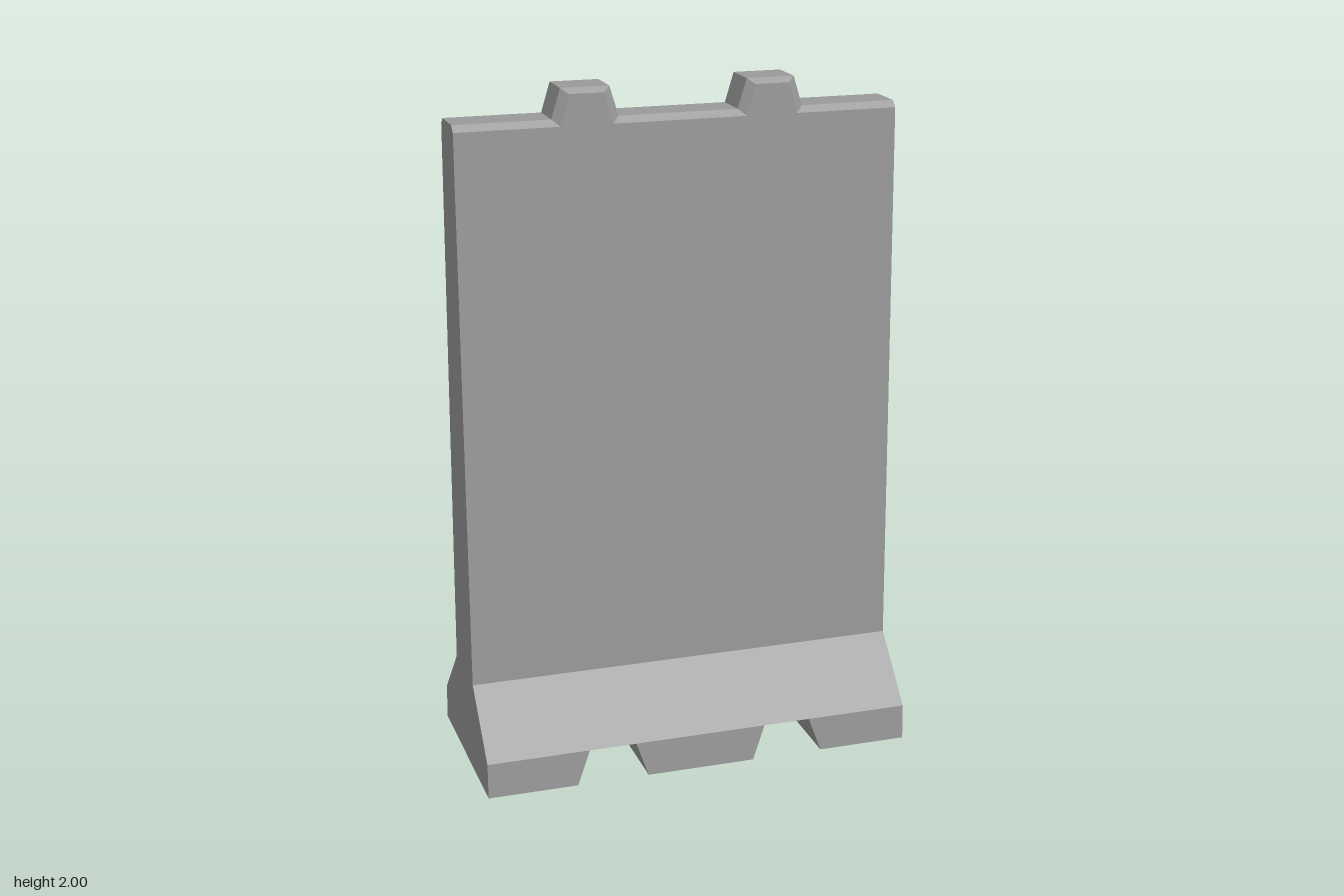
import * as THREE from 'three';
import { ConvexGeometry } from 'three/addons/geometries/ConvexGeometry.js';

const HALF = 0.645;      // half width of the barrier
const NOTCH_X = 0.27;    // centre of each key and its matching notch

export function createModel() {
  const group = new THREE.Group();
  const material = new THREE.MeshStandardMaterial({ color: 0x9a9a9a, flatShading: true });

  const add = (name, geometry, x = 0) => {
    const mesh = new THREE.Mesh(geometry, material);
    mesh.name = name;
    mesh.position.x = x;
    group.add(mesh);
  };

  // Solid spanned by [x, y, z] corners, each repeated at -z
  const solid = (corners) => new ConvexGeometry(corners.flatMap(([x, y, z]) =>
    [new THREE.Vector3(x, y, z), new THREE.Vector3(x, y, -z)]));

  // Wall: tapered section with flared base and bevelled top, swept along x
  const half = [[0.278, 0.105], [0.109, 0.28], [0.075, 1.897], [0.056, 1.915]];
  const outline = [...half, ...half.map(([z, y]) => [-z, y]).reverse()];
  const section = new THREE.Shape(outline.map(([z, y]) => new THREE.Vector2(z, y)));
  const wall = new THREE.ExtrudeGeometry(section, { depth: 2 * HALF, bevelEnabled: false });
  wall.translate(0, 0, -HALF).rotateY(Math.PI / 2);
  add('wall', wall);

  // Feet: blocks separated by two trapezoidal notches
  const foot = (name, bottom, top) => add(name, solid([
    ...bottom.map((x) => [x, 0, 0.282]),
    ...top.map((x) => [x, 0.105, 0.278]),
  ]));
  foot('centreFoot', [-0.163, 0.163], [-0.199, 0.199]);
  foot('leftFoot', [0.378, HALF], [0.34, HALF]);
  foot('rightFoot', [-HALF, -0.378], [-HALF, -0.34]);

  // Keys: tapered lugs on the top edge with bevelled front and back rims
  const keyCorners = [-1, 1].flatMap((s) => [
    [s * 0.096, 1.915, 0.056], [s * 0.07, 2, 0.056],
    [s * 0.05, 1.985, 0.0735], [s * 0.075, 1.897, 0.075],
  ]);
  add('leftKey', solid(keyCorners), NOTCH_X);
  add('rightKey', solid(keyCorners), -NOTCH_X);

  return group;
}
